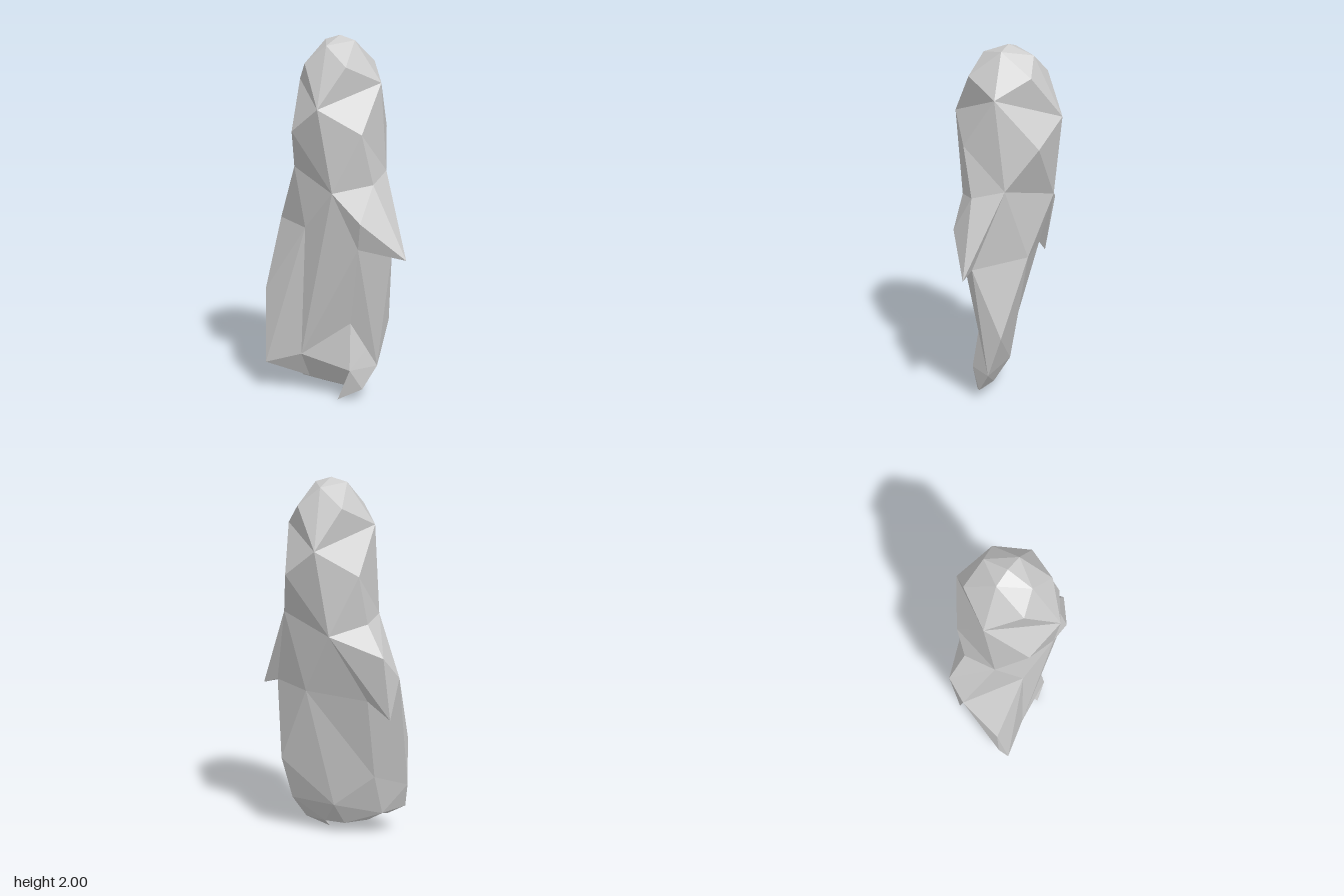
import * as THREE from 'three';
import { ConvexGeometry } from 'three/addons/geometries/ConvexGeometry.js';

const v = (x, y, z) => new THREE.Vector3(x, y, z);

// Half a ring of four, completed by a half turn about the upper body's axis
const turned = (a, b) => [a, b, ...[a, b].map(p => v(0.1 - p.x, p.y, -0.04 - p.z))];

// Closed skin of diamonds over four-point rings, each staggered half a step.
// Every diamond folds outwards, except on the creased rings, which fold level.
function diamondSkin(top, rings, bottom, creased) {
  const pts = [];
  rings.forEach((ring, k) => {
    for (let i = 0; i < 4; i++) {
      const j = (i + 1) % 4;
      const up = k ? rings[k - 1][j] : top;
      const down = k < rings.length - 1 ? rings[k + 1][i] : bottom;
      const plane = new THREE.Plane().setFromCoplanarPoints(up, ring[j], ring[i]);
      if (!creased.includes(ring) && plane.distanceToPoint(down) > 0) {
        pts.push(up, ring[j], down, up, down, ring[i]);
      } else {
        pts.push(up, ring[j], ring[i], ring[i], ring[j], down);
      }
    }
  });
  const geo = new THREE.BufferGeometry().setFromPoints(pts);
  geo.computeVertexNormals();
  return geo;
}

export function createModel() {
  const group = new THREE.Group();
  const material = new THREE.MeshStandardMaterial({ color: 0xcccccc, flatShading: true });
  const add = (name, geo) => {
    const mesh = new THREE.Mesh(geo, material);
    mesh.name = name;
    group.add(mesh);
  };

  // Faceted head, shoulders and chest
  const crown = turned(v(0, 1.975, -0.1), v(0.165, 1.95, -0.1));
  const brow = turned(v(0.11, 1.845, -0.23), v(0.256, 1.855, -0.02));
  const cheek = turned(v(0.267, 1.63, -0.215), v(0.205, 1.755, 0.172));
  const shoulder = turned(v(0.333, 1.495, -0.02), v(0.05, 1.495, 0.263));
  const chest = turned(v(0.255, 1.275, 0.14), v(-0.087, 1.18, 0.185));
  const [, front, , back] = shoulder;
  const [chestFL, chestFR, chestBR, chestBL] = chest;

  // Waist, hips and base: a slab running from front left to back right
  const waist = [v(0.207, 0.86, 0.315), v(-0.157, 0.96, -0.02), v(-0.02, 0.82, -0.28), v(0.22, 0.86, -0.035)];
  const hip = [v(-0.18, 0.235, -0.03), v(-0.31, 0.575, -0.24), v(-0.115, 0.365, -0.205), v(0.264, 0.44, 0.17)];
  const base = [v(-0.335, 0.16, -0.185), v(-0.19, 0.135, -0.17), v(0.046, 0.185, -0.038), v(0.18, 0.19, 0.2)];
  const sole = v(-0.035, 0.06, -0.02);
  const [waistF, waistR, waistB] = waist;
  const [hipFR, hipBR, hipBL, hipFL] = hip;

  add('body', diamondSkin(v(0.05, 2, -0.02),
    [crown, brow, cheek, shoulder, chest, waist, hip, base], sole, [cheek, chest, waist]));

  // Corners of the flaps, belly, heel and toe
  const flapRoot = v(0.12, 1.225, 0.26);
  const flapRidge = v(0.02, 1.03, 0.312);
  const flapTip = v(0.25, 0.83, 0.4);
  const flapSide = v(0.228, 0.935, 0.335);
  const tailRoot = v(-0.01, 1.24, -0.295);
  const tailRidge = v(-0.04, 1.07, -0.403);
  const tailSide = v(-0.16, 0.95, -0.375);
  const tailTip = v(-0.1, 0.725, -0.38);
  const bellyTop = v(0.03, 0.88, 0.265);
  const bellyMid = v(0.035, 0.44, 0.16);
  const heelTop = v(-0.315, 0.3, -0.235);
  const toeTop = v(0.015, 0.18, 0.195);
  const toeBack = v(0.04, 0.063, 0.07);
  const toeSide = v(0.09, 0.063, 0.2);

  const hulls = {
    frontFlapBase: [front, chestFL, chestFR, flapRoot],
    frontFlap: [chestFL, chestFR, flapRoot, flapRidge, flapTip, flapSide, bellyTop, waistF],
    backFlapBase: [back, chestBR, chestBL, tailRoot],
    backFlap: [chestBR, chestBL, tailRoot, tailRidge, tailSide, tailTip, waistB],
    backFlapSide: [chestBR, waistR, waistB, tailSide],
    rightFlank: [waistR, waistB, hipBR, hipBL, heelTop, tailSide],
    rightBelly: [chestFR, waistR, bellyTop, bellyMid, hipFR],
    leftBelly: [bellyTop, waistF, hipFL, base[3], bellyMid],
    lowerBelly: [bellyMid, hipFR, hipFL, base[3], toeTop],
    rightHeel: [hipBR, hipBL, hipFR, base[0], base[1], heelTop, v(-0.23, 0.125, -0.16)],
    frontToe: [base[3], toeTop, toeSide, toeBack, v(-0.03, 0, 0.135)],
    underside: [base[1], base[2], base[3], toeTop, toeBack, toeSide, hipFR, sole, v(-0.14, 0.085, -0.1)],
  };
  for (const [name, points] of Object.entries(hulls)) add(name, new ConvexGeometry(points));

  return group;
}
